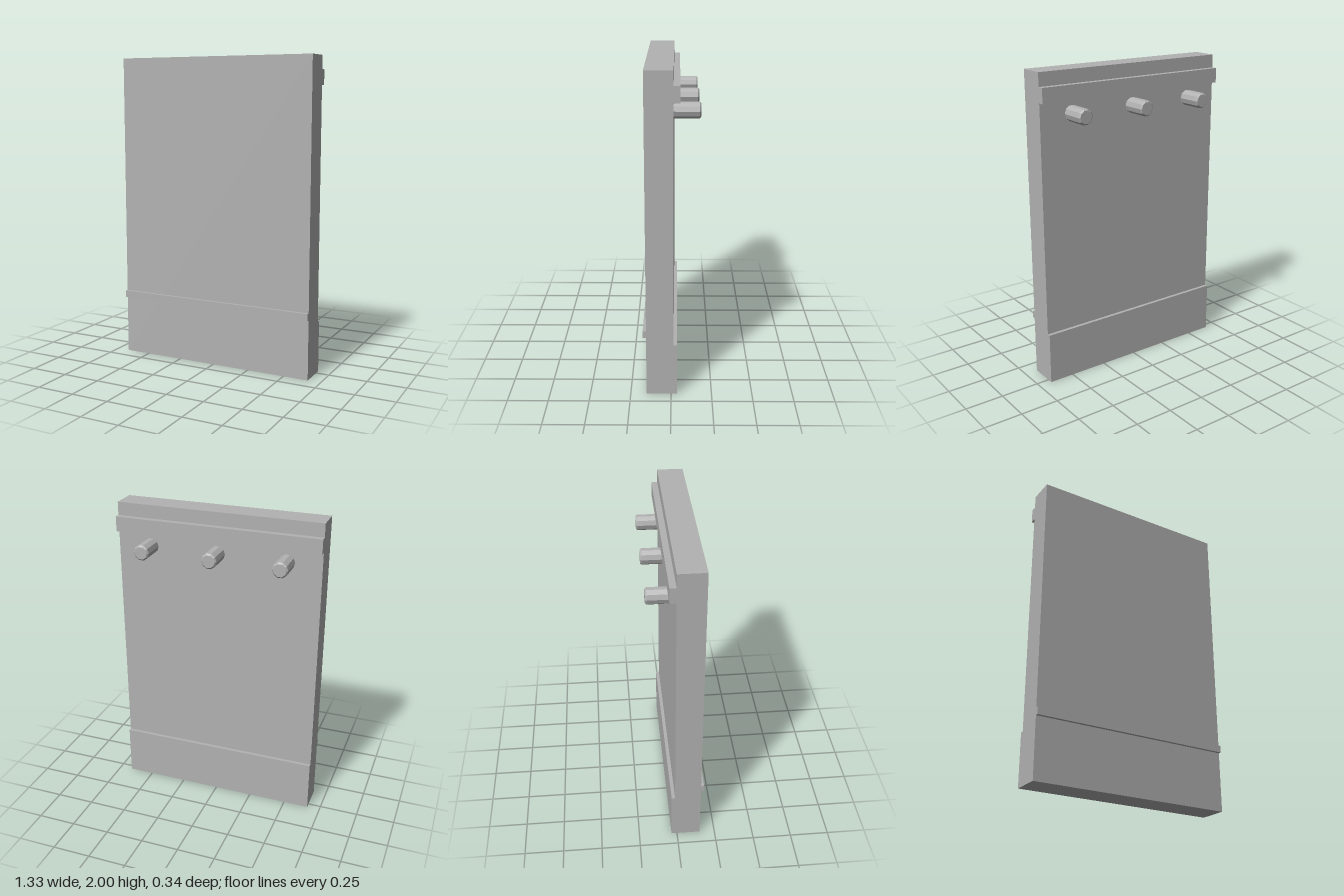
import * as THREE from 'three';

const WIDTH = 1.33;

export function createModel() {
  const model = new THREE.Group();
  model.name = 'wallPanel';

  const grey = new THREE.MeshStandardMaterial({ color: 0xb2b2b2 });
  grey.name = 'plain grey';

  // full-width bar given by its height and depth ranges
  function addBar(name, y0, y1, z0, z1) {
    const bar = new THREE.Mesh(new THREE.BoxGeometry(WIDTH, y1 - y0, z1 - z0), grey);
    bar.position.set(0, (y0 + y1) / 2, (z0 + z1) / 2);
    bar.name = name;
    model.add(bar);
  }

  addBar('panel', 0, 2, -0.014, 0.152);
  addBar('frontStrip', 0.385, 0.43, 0.152, 0.172);
  addBar('backRail', 1.82, 1.915, -0.052, -0.014);
  addBar('backBase', 0, 0.335, -0.036, -0.014);

  // ten-sided section along -z, with corners at the left and right
  function pegSection(name, rNear, rFar, zNear, zFar, open) {
    const shape = new THREE.CylinderGeometry(
      rFar, rNear, zNear - zFar, 10, 1, open, Math.PI / 2
    ).toNonIndexed();
    shape.computeVertexNormals();
    shape.rotateX(-Math.PI / 2);
    const mesh = new THREE.Mesh(shape, grey);
    mesh.position.z = (zNear + zFar) / 2;
    mesh.name = name;
    return mesh;
  }

  // row of pegs with bevelled tips
  for (const x of [-0.445, 0, 0.445]) {
    const peg = new THREE.Group();
    peg.name = 'peg';
    peg.add(pegSection('pegShaft', 0.05, 0.05, -0.014, -0.163, true));
    peg.add(pegSection('pegTip', 0.05, 0.041, -0.163, -0.172, false));
    peg.position.set(x, 1.738, 0);
    model.add(peg);
  }

  return model;
}
